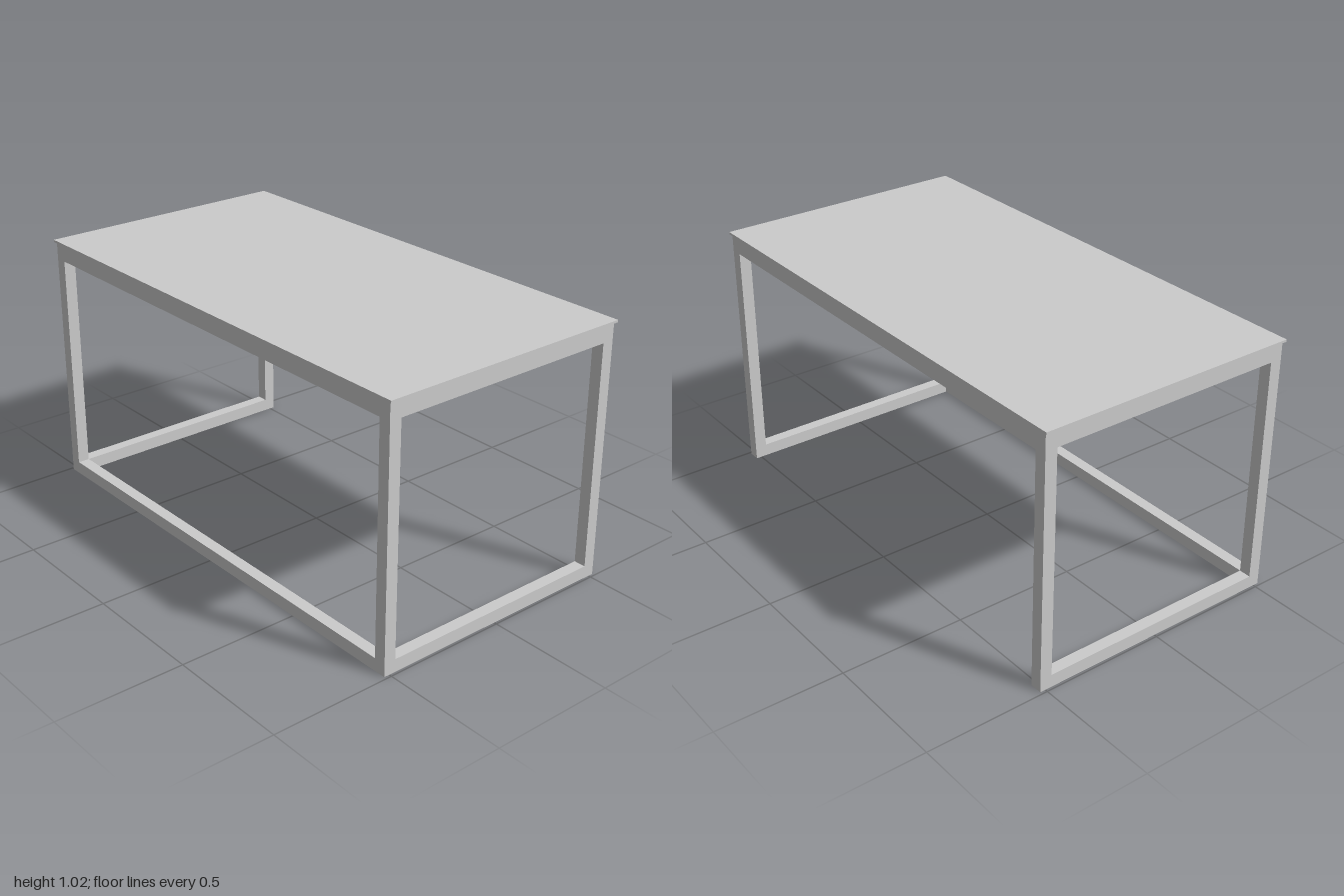
import * as THREE from 'three';

const material = new THREE.MeshStandardMaterial({ color: 0xcccccc });

// Frame dimensions
const X = 0.989, Z = 0.522;      // outer half width and half depth of the frame
const BAR = 0.048;               // thickness of the square tube
const TOP = 1.022, SLAB = 0.009; // table height and board thickness
const FRAME_TOP = TOP - SLAB;
const APRON = 0.068;             // height of the upper rails

export function createModel() {
  const table = new THREE.Group();
  table.name = 'table';

  // Box that stands on height y
  const addBox = (name, w, h, d, x, y, z) => {
    const mesh = new THREE.Mesh(new THREE.BoxGeometry(w, h, d), material);
    mesh.name = name;
    mesh.position.set(x, y + h / 2, z);
    table.add(mesh);
  };

  const legX = X - BAR / 2, legZ = Z - BAR / 2;
  const railW = 2 * (X - BAR), railD = 2 * (Z - BAR);

  // Thin board overhanging the frame slightly
  addBox('tableTop', 2, SLAB, 1.058, 0, FRAME_TOP, 0);

  for (const [side, sx] of [['left', 1], ['right', -1]]) {
    // Legs
    for (const [end, sz] of [['Front', 1], ['Back', -1]]) {
      addBox(`${side}${end}Leg`, BAR, FRAME_TOP, BAR, sx * legX, 0, sz * legZ);
    }
    // Side rails
    addBox(`${side}UpperRail`, BAR, APRON, railD, sx * legX, FRAME_TOP - APRON, 0);
    addBox(`${side}LowerRail`, BAR, 0.051, railD, sx * legX, 0, 0);
  }

  // Long rails: the lower one runs along the front only
  addBox('frontUpperRail', railW, APRON, BAR, 0, FRAME_TOP - APRON, legZ);
  addBox('backUpperRail', railW, APRON, BAR, 0, FRAME_TOP - APRON, -legZ);
  addBox('frontLowerRail', railW, 0.051, BAR, 0, 0, legZ);

  return table;
}
